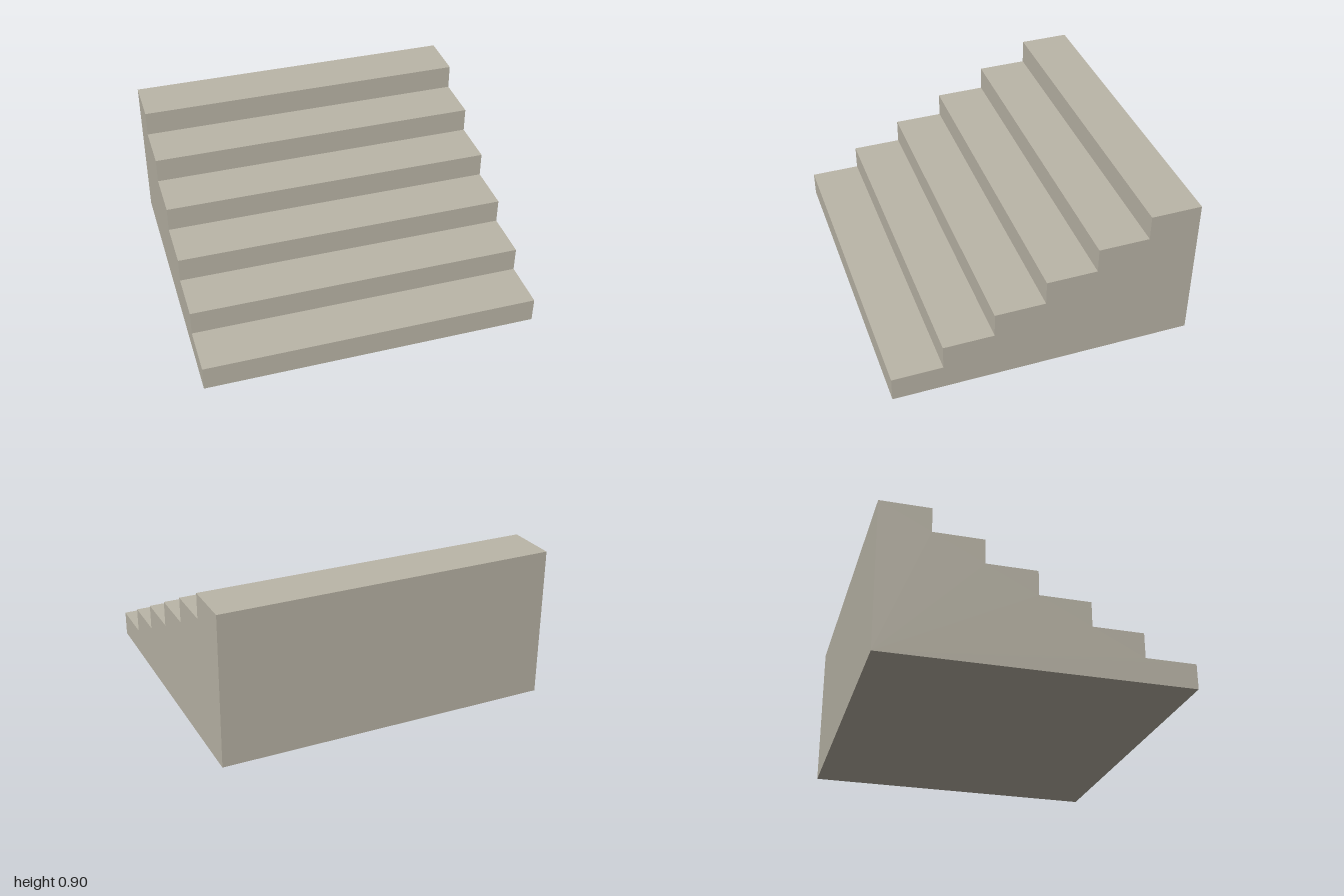
import * as THREE from 'three';

const STEPS = 6, RISE = 0.15, RUN = 0.3, WIDTH = 2;

export function createModel() {
  const group = new THREE.Group();
  group.name = 'staircase';

  const stone = new THREE.MeshStandardMaterial({ color: 0xbbb6a8 });
  stone.name = 'stone';

  // Stepped side profile: shape x runs along z, from the front foot to the back
  const front = (STEPS * RUN) / 2;
  const profile = new THREE.Shape();
  profile.moveTo(front, 0);
  for (let i = 0; i < STEPS; i++) {
    const y = (i + 1) * RISE;
    profile.lineTo(front - i * RUN, y); // riser
    profile.lineTo(front - (i + 1) * RUN, y); // tread
  }
  profile.lineTo(-front, 0);
  profile.closePath();

  // Solid flight, extruded across the width
  const geometry = new THREE.ExtrudeGeometry(profile, { depth: WIDTH, bevelEnabled: false });
  geometry.rotateY(-Math.PI / 2);
  geometry.translate(WIDTH / 2, 0, 0);

  const steps = new THREE.Mesh(geometry, stone);
  steps.name = 'steps';
  group.add(steps);
  return group;
}
